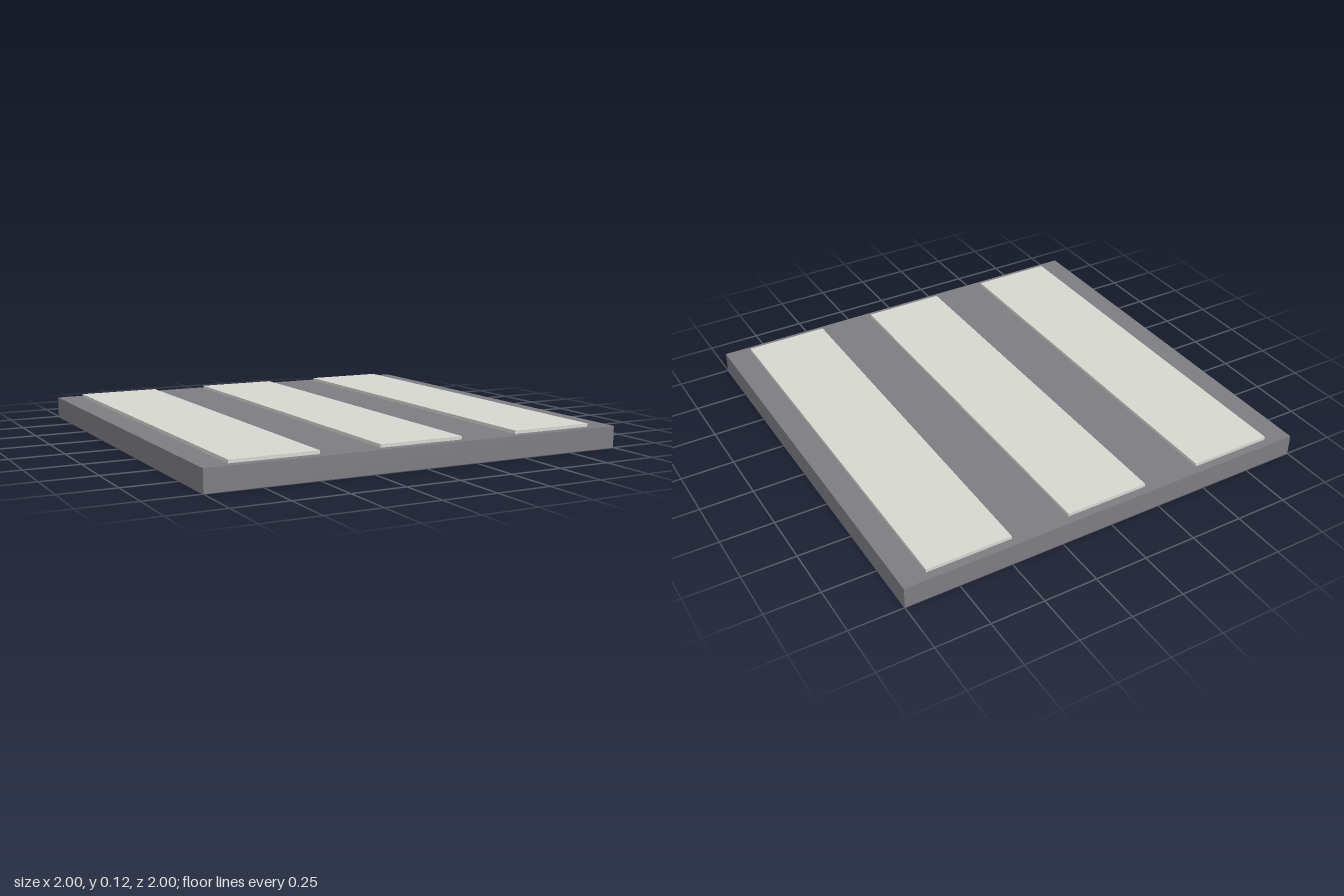
import * as THREE from 'three';

export function createModel() {
  const group = new THREE.Group();
  group.name = 'stripedRoadTile';

  const box = (name, color, size, position) => {
    const mesh = new THREE.Mesh(
      new THREE.BoxGeometry(...size),
      new THREE.MeshStandardMaterial({ color })
    );
    mesh.name = name;
    mesh.position.set(...position);
    group.add(mesh);
  };

  // Square road slab
  box('roadSlab', 0x7d7d83, [2, 0.1, 2], [0, 0.05, 0]);

  // Three raised crossing stripes, slightly sunk into the slab
  const stripes = { rightStripe: -0.68, middleStripe: 0, leftStripe: 0.68 };
  for (const [name, x] of Object.entries(stripes)) {
    box(name, 0xd8d8d2, [0.4, 0.02, 1.92], [x, 0.105, 0]);
  }

  return group;
}
